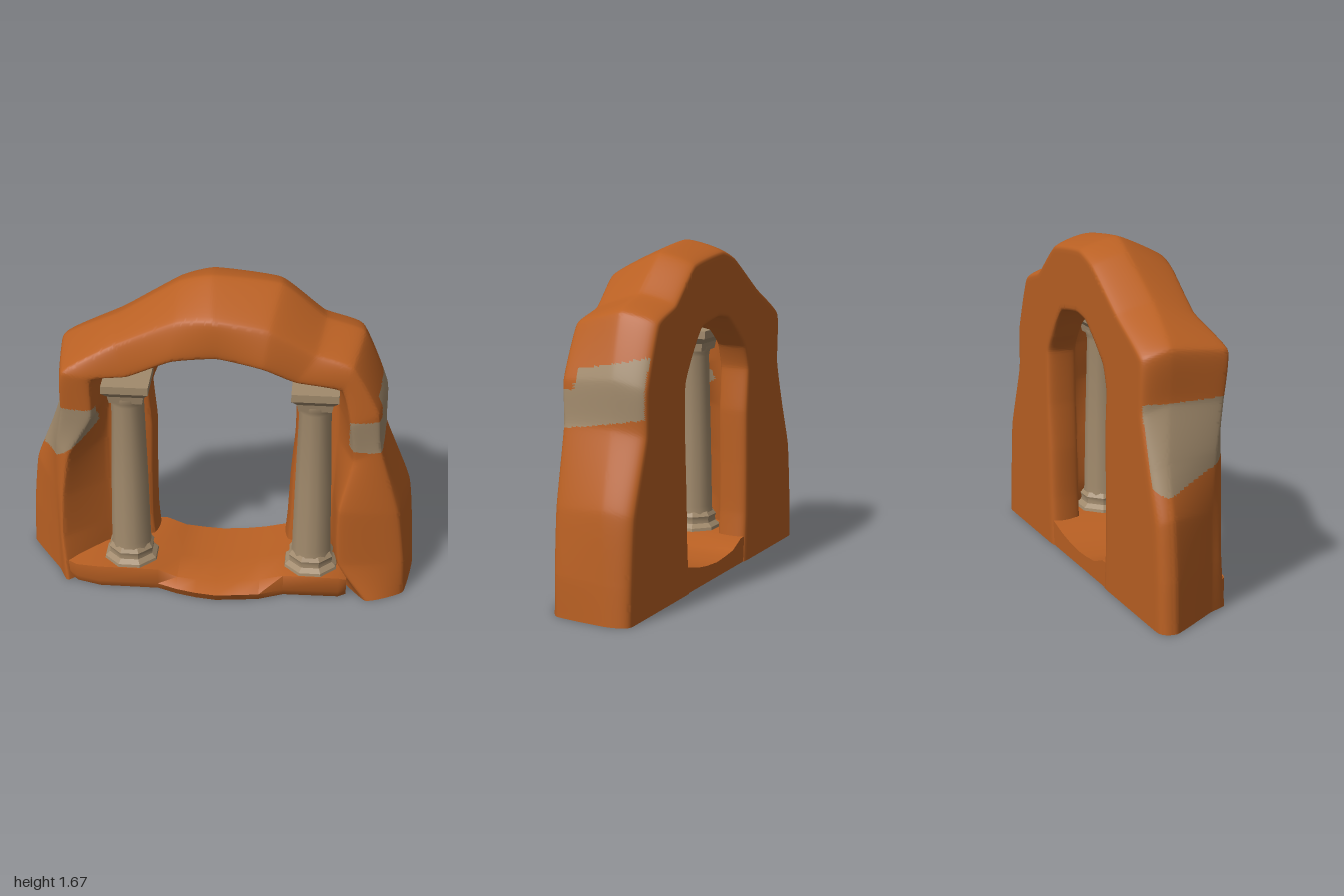
import * as THREE from 'three';
import { toCreasedNormals } from 'three/addons/utils/BufferGeometryUtils.js';

const V = (x, y, z) => new THREE.Vector3(x, y, z);

// Closed skin through a grid of rings; triangles are sorted by colour with pick(centroid)
function skin(rings, pick, crease) {
  const m = rings[0].length, verts = rings.flat(), tris = [[], []];
  const add = (a, b, c) => {
    const p = verts[a].clone().add(verts[b]).add(verts[c]).divideScalar(3);
    tris[pick(p)].push(a, b, c);
  };
  for (let i = 0; i < rings.length - 1; i++) {
    for (let j = 0; j < m; j++) {
      const a = i * m + j, b = i * m + (j + 1) % m;
      add(a, b, a + m);
      add(b, b + m, a + m);
    }
  }
  [0, rings.length - 1].forEach((i, end) => {
    const c = verts.length;
    verts.push(rings[i].reduce((s, p) => s.add(p), V(0, 0, 0)).divideScalar(m));
    for (let j = 0; j < m; j++) {
      const a = i * m + j, b = i * m + (j + 1) % m;
      end ? add(c, a, b) : add(c, b, a);
    }
  });
  const g = new THREE.BufferGeometry().setFromPoints(verts);
  g.setIndex([...tris[0], ...tris[1]]);
  g.addGroup(0, tris[0].length, 0);
  if (tris[1].length) g.addGroup(tris[0].length, tris[1].length, 1);
  return toCreasedNormals(g, crease);
}

// Rails that run over the arch from the right foot to the left foot
const outer = [[-1, 0, -.2], [-.99, .25, -.2], [-.96, .53, -.2], [-.87, .77, -.19], [-.79, 1.02, -.15], [-.785, 1.28, -.14],
  [-.5, 1.44, -.1], [-.21, 1.62, -.1], [-.04, 1.67, -.08], [.29, 1.63, -.1], [.51, 1.46, -.1], [.7, 1.39, -.1],
  [.82, 1.1, -.12], [.83, .87, -.12], [.96, .52, -.14], [.99, .2, -.16], [1, 0, -.17]];
const shoulder = [[-.83, 0, .05], [-.83, .25, .05], [-.83, .5, .05], [-.81, .78, .08], [-.77, 1, .13], [-.75, 1.24, .16],
  [-.5, 1.37, .11], [-.2, 1.52, .14], [-.02, 1.55, .17], [.25, 1.51, .17], [.47, 1.38, .14], [.65, 1.32, .15],
  [.78, 1.08, .15], [.8, .87, .14], [.9, .5, .13], [.94, .2, .12], [.95, 0, .11]];
const frontEdge = [[-.77, 0, .15], [-.79, .25, .12], [-.78, .5, .12], [-.74, .75, .13], [-.62, .98, .15], [-.61, 1.2, .16],
  [-.44, 1.22, .14], [-.22, 1.33, .17], [0, 1.36, .18], [.22, 1.33, .21], [.38, 1.25, .18], [.6, 1.2, .16],
  [.65, 1.02, .17], [.67, .8, .14], [.61, .52, .18], [.62, .2, .175], [.76, 0, .2]];
const niche = [[-.56, 0], [-.56, .25], [-.57, .5], [-.57, .75], [-.56, 1], [-.52, 1.17], [-.36, 1.19], [-.2, 1.25], [0, 1.31],
  [.18, 1.28], [.32, 1.2], [.54, 1.17], [.58, 1], [.58, .8], [.57, .5], [.56, .25], [.56, 0]];
const opening = [[-.34, 0], [-.36, .25], [-.36, .5], [-.355, .78], [-.37, 1], [-.33, 1.12], [-.23, 1.21], [-.12, 1.29], [0, 1.31],
  [.19, 1.28], [.27, 1.2], [.33, 1.12], [.385, 1.02], [.385, .75], [.37, .5], [.36, .25], [.34, 0]];

function archGeometry() {
  const flat = (rail, z) => rail.map(([x, y]) => [x, y, z]);
  const back = outer.map(([x, y]) => [x * .955, y * .965, -.28]);
  const rails = [outer, shoulder, frontEdge, flat(niche, -.06), flat(opening, -.13), flat(opening, -.28), back]
    .map(r => new THREE.CatmullRomCurve3(r.map(p => V(...p)), false, 'catmullrom', .25));
  const rings = [], steps = 480;
  for (let i = 0; i <= steps; i++) {
    const ring = new THREE.CatmullRomCurve3(rails.map(r => r.getPoint(i / steps)), true, 'catmullrom', .2);
    rings.push(ring.getPoints(84).slice(0, 84).map(p => V(p.x, Math.max(0, p.y), Math.max(-.282, p.z))));
  }
  // Bare stone bands on the outside of both legs
  const bare = ({ x, y, z }) => {
    if (z < -.272) return 0;
    if (x > .645) {
      const top = 1.035 + .1 * THREE.MathUtils.smoothstep(-z, -.095, -.07) + Math.max(0, .07 - z) * .19;
      return +(y > .85 + (.18 - z) * .16 && y < top);
    }
    return +(x < -.6 && y > .65 + (x + .9) * .82 && y < 1.03);
  };
  return skin(rings, bare, .9);
}

// Ground slab: x, top height, front depth
function slabGeometry() {
  const rows = [[-.8, .1, .1], [-.72, .12, .175], [-.6, .13, .21], [-.3, .13, .21], [-.2, .09, .25], [-.1, .08, .275],
    [0, .075, .288], [.12, .085, .275], [.22, .1, .26], [.34, .13, .21], [.62, .13, .205], [.66, .11, .18]];
  const rings = rows.map(([x, top, z]) => [
    V(x, top, -.275), V(x, top, 0), V(x, top, Math.min(z, .2)), V(x, .05, z), V(x, 0, z - .03), V(x, 0, -.275)]);
  return skin(rings, () => 0, .8);
}

export function createModel() {
  const model = new THREE.Group();
  const rock = new THREE.MeshStandardMaterial({ color: 0xb96023 });
  rock.name = 'orange rock';
  const stone = new THREE.MeshStandardMaterial({ color: 0xa18a6c });
  stone.name = 'pale stone';

  const add = (parent, name, geometry, material) => {
    const mesh = new THREE.Mesh(geometry, material);
    mesh.name = name;
    parent.add(mesh);
  };
  add(model, 'rockArch', archGeometry(), [rock, stone]);
  add(model, 'groundSlab', slabGeometry(), rock);

  // Columns: octagonal base, tapered shaft, square capital
  const turned = (points, sides, crease) =>
    toCreasedNormals(new THREE.LatheGeometry(points.map(p => new THREE.Vector2(...p)), sides, Math.PI / sides), crease);
  const base = turned([[0, .12], [.145, .12], [.14, .145], [.117, .165], [.115, .185], [.12, .2], [.104, .222], [0, .222]], 8, .5);
  const shaft = turned([[.104, .2], [.1, .25], [.093, .6], [.081, 1.04], [.084, 1.06], [.09, 1.075], [.09, 1.09]], 12, .7);
  const capital = turned([[0, 1.07], [.115, 1.07], [.125, 1.11], [.15, 1.13], [.163, 1.14], [.163, 1.18], [0, 1.18]], 4, .5);
  for (const [name, x] of [['rightColumn', -.447], ['leftColumn', .474]]) {
    const column = new THREE.Group();
    column.name = name;
    column.position.set(x, 0, .062);
    add(column, 'columnBase', base, stone);
    add(column, 'columnShaft', shaft, stone);
    add(column, 'columnCapital', capital, stone);
    model.add(column);
  }
  return model;
}
